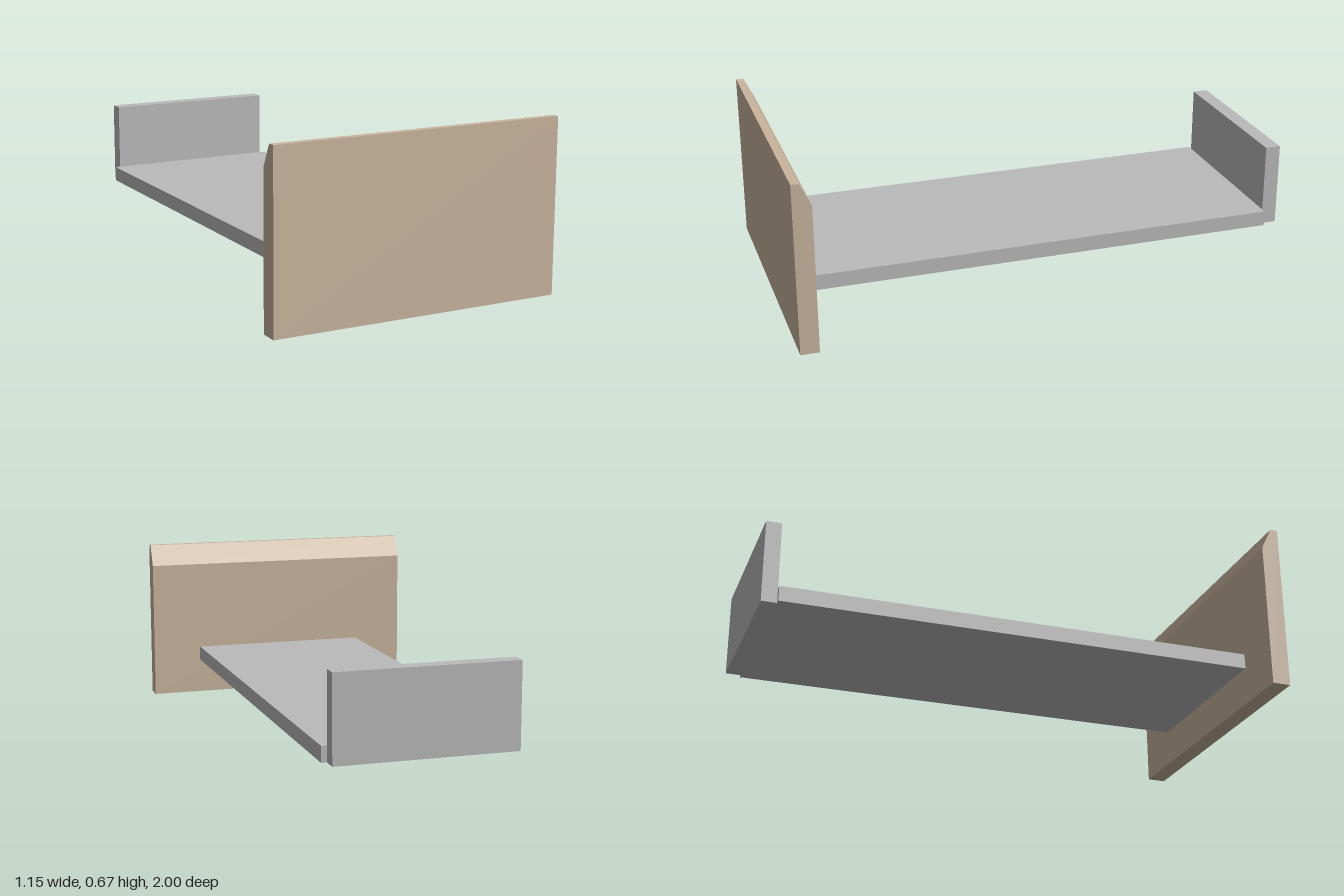
import * as THREE from 'three';

const tan = new THREE.MeshStandardMaterial({ name: 'tan wood', color: 0xc9b59d });
const grey = new THREE.MeshStandardMaterial({ name: 'light grey', color: 0xbababa });

// Box given by its half width and its y and z ranges, centred on x = 0
function slab(name, halfWidth, [y0, y1], [z0, z1]) {
  const geometry = new THREE.BoxGeometry(halfWidth * 2, y1 - y0, z1 - z0);
  geometry.translate(0, (y0 + y1) / 2, (z0 + z1) / 2);
  const mesh = new THREE.Mesh(geometry, grey);
  mesh.name = name;
  return mesh;
}

// Upright panel: side profile (z, y) with a sloped inner top edge, extruded across x
function bevelledPanel(name, halfWidth) {
  const profile = new THREE.Shape(
    [[0.928, 0], [1, 0], [1, 0.667], [0.971, 0.667], [0.928, 0.58]].map(([z, y]) => new THREE.Vector2(z, y))
  );
  const geometry = new THREE.ExtrudeGeometry(profile, { depth: halfWidth * 2, bevelEnabled: false });
  geometry.translate(0, 0, -halfWidth);
  geometry.rotateY(-Math.PI / 2);
  const mesh = new THREE.Mesh(geometry, tan);
  mesh.name = name;
  return mesh;
}

export function createModel() {
  const model = new THREE.Group();
  model.name = 'bed frame';
  model.add(
    bevelledPanel('headboard', 0.575),
    slab('base', 0.368, [0.145, 0.205], [-0.94, 0.928]),
    slab('footboard', 0.347, [0.145, 0.472], [-1, -0.94])
  );
  return model;
}
